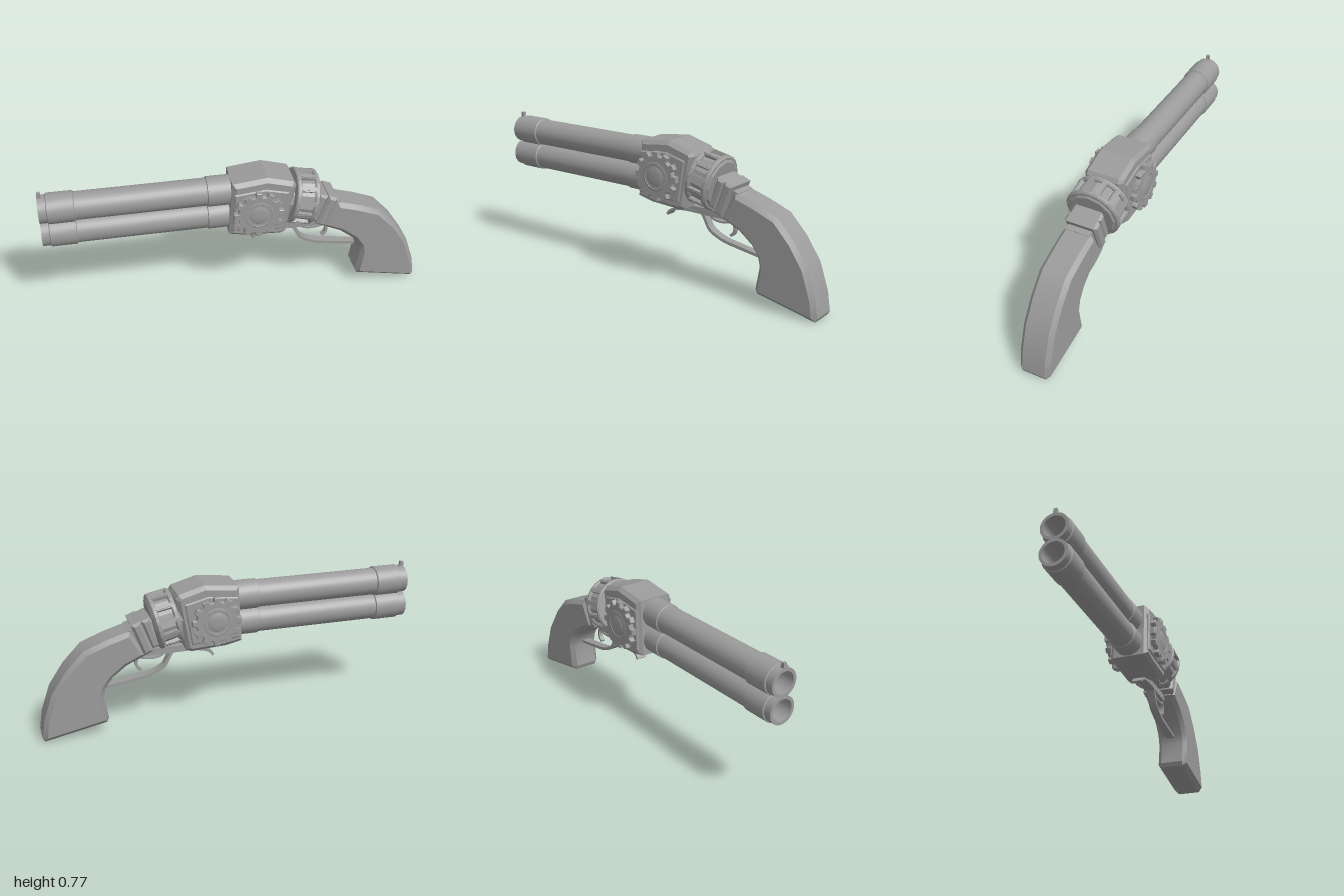
import * as THREE from 'three';
import { toCreasedNormals } from 'three/addons/utils/BufferGeometryUtils.js';

const darkGrey = new THREE.MeshStandardMaterial({ color: 0x9b9b9b });

function add(parent, geometry, name) {
  const mesh = new THREE.Mesh(geometry, darkGrey);
  mesh.name = name;
  parent.add(mesh);
  return mesh;
}

// Side outline given a thickness from z0 to z1, with bevels kept inside the outline
function slab(points, z0, z1, bevel = 0) {
  const shape = new THREE.Shape(points.map(([x, y]) => new THREE.Vector2(x, y)));
  const geometry = new THREE.ExtrudeGeometry(shape, {
    depth: z1 - z0 - 2 * bevel, bevelEnabled: bevel > 0, bevelThickness: bevel,
    bevelSize: bevel, bevelOffset: -bevel, bevelSegments: 1, curveSegments: 1,
  });
  return geometry.translate(0, 0, z0 + bevel);
}

// Flat strip following a smooth path in the side plane
function strip(path, thickness, halfWidth) {
  const curve = new THREE.CatmullRomCurve3(path.map(([x, y]) => new THREE.Vector3(x, y, 0)));
  const upper = [], lower = [];
  for (let i = 0; i <= 20; i++) {
    const p = curve.getPoint(i / 20), t = curve.getTangent(i / 20), h = thickness / 2;
    upper.push([p.x - t.y * h, p.y + t.x * h]);
    lower.unshift([p.x + t.y * h, p.y - t.x * h]);
  }
  return toCreasedNormals(slab([...upper, ...lower], -halfWidth, halfWidth), 0.6);
}

// Turned profile of [radius, distance along axis]
function turned(profile, segments, crease = 0.6) {
  const points = profile.map(([r, d]) => new THREE.Vector2(r, d));
  return toCreasedNormals(new THREE.LatheGeometry(points, segments), crease);
}

function createBarrels() {
  const barrels = new THREE.Group();
  barrels.name = 'barrels';
  const profile = [
    [0, -0.1], [0.078, -0.1], [0.078, 0.157], [0.072, 0.16], [0.072, 0.822],
    [0.079, 0.826], [0.079, 0.957], [0.072, 0.96], [0.072, 1], [0.056, 1], [0.056, 0.65], [0, 0.65],
  ];
  for (const [y, name] of [[0.666, 'upperBarrel'], [0.528, 'lowerBarrel']]) {
    add(barrels, turned(profile, 32).rotateZ(Math.PI / 2), name).position.y = y;
  }
  // Front sight
  add(barrels, slab([[-1, 0.725], [-0.965, 0.725], [-0.98, 0.745], [-0.982, 0.764], [-0.998, 0.764]], -0.009, 0.009), 'frontSight');
  return barrels;
}

function createReceiver() {
  const receiver = new THREE.Group();
  receiver.name = 'receiver';
  const outline = [
    [-0.057, 0.447], [0.03, 0.428], [0.215, 0.417], [0.242, 0.428],
    [0.292, 0.705], [0.278, 0.728], [0.14, 0.767], [-0.038, 0.747],
  ];
  add(receiver, slab(outline, -0.105, 0.105, 0.02), 'receiverBody');
  const panel = [[-0.04, 0.475], [0.215, 0.46], [0.25, 0.68], [0.13, 0.71], [-0.03, 0.695]];
  const teeth = 12, gear = [];
  for (let i = 0; i < teeth; i++) {
    for (const [offset, r] of [[-0.32, 0.108], [-0.22, 0.13], [0.22, 0.13], [0.32, 0.108]]) {
      const a = (i + offset) / teeth * Math.PI * 2;
      gear.push([r * Math.cos(a), r * Math.sin(a)]);
    }
  }
  for (const side of [1, -1]) {
    const span = (a, b) => side > 0 ? [a, b] : [-b, -a];
    add(receiver, slab(panel, ...span(0.08, 0.112), 0.006), 'sidePanel');

    // Gear with a domed hub on each side
    const wheel = new THREE.Group();
    wheel.name = 'sideGear';
    wheel.position.set(0.09, 0.583, 0);
    add(wheel, slab(gear, ...span(0.115, 0.144), 0.003), 'gearTeeth');
    const hub = turned([
      [0, 0.09], [0.085, 0.09], [0.085, 0.14], [0.073, 0.146], [0.066, 0.146],
      [0.061, 0.14], [0.056, 0.142], [0.045, 0.147], [0.025, 0.149], [0, 0.15],
    ], 28).rotateX(side * Math.PI / 2);
    add(wheel, hub, 'gearHub');
    receiver.add(wheel);
  }
  return receiver;
}

function createDrum() {
  const drum = new THREE.Group();
  drum.name = 'drum';
  drum.position.set(0.337, 0.58, 0);
  drum.rotation.z = -0.21;
  const along = (geometry) => geometry.rotateZ(-Math.PI / 2);

  // Recessed core with a flat twelve-sided rear plate
  add(drum, along(turned([
    [0, -0.12], [0.1, -0.12], [0.1, -0.062], [0.129, -0.06], [0.136, 0.058], [0.119, 0.07], [0, 0.07],
  ], 12, 0.2)), 'drumCore');

  // End rims
  for (const s of [-1, 1]) {
    add(drum, along(turned([
      [0.11, s * 0.049 - 0.013], [0.14, s * 0.049 - 0.013], [0.146, s * 0.049 - 0.007],
      [0.146, s * 0.049 + 0.006], [0.138, s * 0.049 + 0.013], [0.11, s * 0.049 + 0.013],
    ], 24, 0.2)), 'drumRim');
  }

  // Bars with raised ridges around the drum
  for (let i = 0; i < 12; i++) {
    const bar = new THREE.Group();
    bar.name = 'drumBar';
    bar.rotation.x = (i + 0.5) * Math.PI / 6;
    add(bar, new THREE.BoxGeometry(0.09, 0.026, 0.026), 'barBase').position.y = 0.131;
    add(bar, new THREE.BoxGeometry(0.1, 0.012, 0.014), 'barRidge').position.y = 0.141;
    drum.add(bar);
  }
  return drum;
}

function createGrip() {
  const grip = new THREE.Group();
  grip.name = 'gripAssembly';
  // Stepped neck collars
  add(grip, slab([[0.38, 0.615], [0.428, 0.605], [0.395, 0.46], [0.34, 0.475]], -0.07, 0.07, 0.012), 'neckRoot');
  add(grip, slab([[0.425, 0.622], [0.47, 0.604], [0.416, 0.45], [0.372, 0.466]], -0.083, 0.083, 0.012), 'frontCollar');
  add(grip, slab([[0.45, 0.59], [0.54, 0.555], [0.485, 0.42], [0.4, 0.455]], -0.066, 0.066), 'neckCore');
  add(grip, slab([[0.472, 0.608], [0.521, 0.588], [0.46, 0.42], [0.41, 0.44]], -0.088, 0.088, 0.013), 'rearCollar');
  add(grip, toCreasedNormals(slab([
    [0.445, 0.418], [0.55, 0.37], [0.625, 0.312], [0.662, 0.26], [0.674, 0.21], [0.654, 0.09], [0.664, 0.066],
    [0.988, 0], [0.998, 0.02], [0.982, 0.12], [0.934, 0.26], [0.857, 0.375], [0.762, 0.475], [0.64, 0.522], [0.525, 0.557],
  ], -0.085, 0.085, 0.022), 0.5), 'grip');
  return grip;
}

function createTriggers() {
  const triggers = new THREE.Group();
  triggers.name = 'triggerAssembly';
  add(triggers, slab([[0.2, 0.43], [0.2, 0.405], [0.3, 0.393], [0.46, 0.393], [0.5, 0.43]], -0.026, 0.026), 'triggerPlate');
  add(triggers, strip([[0.08, 0.355], [0.098, 0.377], [0.135, 0.393], [0.2, 0.402], [0.28, 0.402]], 0.013, 0.028), 'frontLever');
  add(triggers, strip([[0.3, 0.4], [0.322, 0.36], [0.345, 0.322], [0.42, 0.283], [0.52, 0.263], [0.65, 0.243]], 0.016, 0.022), 'triggerGuard');
  add(triggers, strip([[0.46, 0.41], [0.48, 0.385], [0.49, 0.35], [0.482, 0.325], [0.465, 0.31]], 0.014, 0.012), 'trigger');
  add(triggers, strip([[0.34, 0.395], [0.36, 0.38], [0.41, 0.372], [0.47, 0.382]], 0.01, 0.014), 'triggerLink');
  return triggers;
}

export function createModel() {
  const model = new THREE.Group();
  model.name = 'doubleBarrelPistol';
  model.add(createBarrels(), createReceiver(), createDrum(), createGrip(), createTriggers());
  return model;
}
